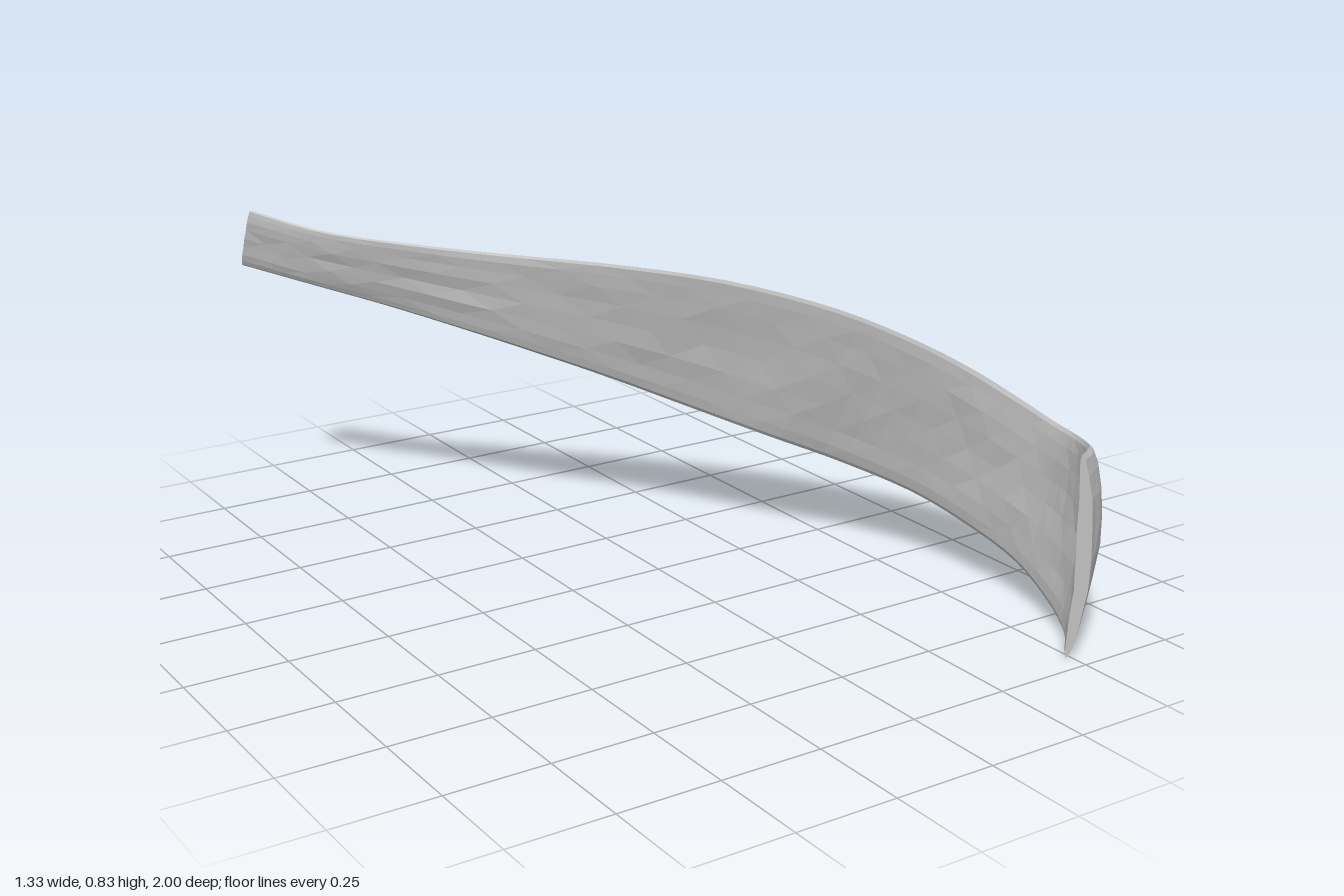
import * as THREE from 'three';

// Stations along the blade: top edge xyz, bottom edge xyz, outward bulge
const STATIONS = [
  [-0.655, 0.83, -0.92, -0.655, 0.668, -0.997, 0.022],
  [-0.53, 0.79, -0.765, -0.525, 0.63, -0.835, 0.042],
  [-0.38, 0.77, -0.61, -0.37, 0.58, -0.69, 0.052],
  [-0.2, 0.757, -0.42, -0.18, 0.512, -0.49, 0.073],
  [0, 0.748, -0.2, 0.02, 0.432, -0.31, 0.092],
  [0.18, 0.73, 0.015, 0.175, 0.364, -0.16, 0.106],
  [0.335, 0.69, 0.21, 0.315, 0.304, 0.01, 0.109],
  [0.445, 0.64, 0.36, 0.445, 0.25, 0.15, 0.107],
  [0.525, 0.585, 0.5, 0.545, 0.2, 0.32, 0.097],
  [0.577, 0.53, 0.64, 0.588, 0.154, 0.49, 0.079],
  [0.597, 0.495, 0.76, 0.605, 0.11, 0.64, 0.06],
  [0.582, 0.49, 0.85, 0.59, 0.06, 0.77, 0.057],
  [0.535, 0.5, 0.93, 0.555, 0.022, 0.87, 0.052],
  [0.458, 0.51, 0.988, 0.488, 0.003, 0.948, 0.036],
];
const ROWS = 44, HALF = 10; // rings, and steps on each side of a ring

function seeded(seed) {
  return () => (seed = (seed * 16807) % 2147483647) / 2147483647 - 0.5;
}

const curve = (pick) =>
  new THREE.CatmullRomCurve3(STATIONS.map(pick), false, 'catmullrom', 0.5);

function bladeGeometry() {
  const top = curve((s) => new THREE.Vector3(s[0], s[1], s[2]));
  const bottom = curve((s) => new THREE.Vector3(s[3], s[4], s[5]));
  const bulge = curve((s) => new THREE.Vector3(s[6], 0, 0));
  const rand = seeded(73);
  const ring = HALF * 2;
  const grain = new Array(ring).fill(0);
  const pos = [], index = [];

  for (let i = 0; i <= ROWS; i++) {
    const t = i / ROWS;
    const a = top.getPoint(t), b = bottom.getPoint(t), d = bulge.getPoint(t).x;
    const along = top.getTangent(t).add(bottom.getTangent(t));
    const out = new THREE.Vector3(along.z, 0, -along.x).normalize();
    // The inner face is nearly flat, hollowing towards the hooked tip
    const hollow = 0.08 + 0.5 * THREE.MathUtils.smoothstep(t, 0.75, 1);
    for (let j = 0; j < ring; j++) {
      // Down the convex outer face, then back up the inner face, with rounded rims
      const outer = j <= HALF;
      const v = (1 - Math.cos((Math.PI * (outer ? j : ring - j)) / HALF)) / 2;
      const arch = Math.max(0, Math.sin(Math.PI * v));
      const offset = outer
        ? d * Math.pow(arch, 0.57)
        : hollow * d * arch - 0.014 * Math.pow(arch, 0.4);
      // Shallow grain that drifts along the length
      grain[j] = grain[j] * 0.7 + rand() * 0.005;
      const p = a.clone().lerp(b, v).addScaledVector(out, offset + grain[j] * arch);
      pos.push(p.x, p.y, p.z);
    }
  }
  for (let i = 0; i < ROWS; i++) {
    for (let j = 0; j < ring; j++) {
      const k = (j + 1) % ring;
      const a = i * ring + j, b = i * ring + k, c = a + ring, e = b + ring;
      if ((i + j) % 2) index.push(a, c, b, b, c, e);
      else index.push(a, c, e, a, e, b);
    }
  }
  // End caps, stitched across the thin section
  const last = ROWS * ring;
  for (let j = 0; j < HALF; j++) {
    const a = j, b = j + 1, c = (ring - j) % ring, e = ring - j - 1;
    index.push(a, b, c, b, e, c);
    index.push(last + a, last + c, last + b, last + b, last + c, last + e);
  }
  const g = new THREE.BufferGeometry();
  g.setAttribute('position', new THREE.Float32BufferAttribute(pos, 3));
  g.setIndex(index);
  g.computeVertexNormals();
  return g;
}

export function createModel() {
  const grey = new THREE.MeshStandardMaterial({ color: 0xc8c8c8, flatShading: true, side: THREE.DoubleSide });
  grey.name = 'pale grey';
  const group = new THREE.Group();
  group.name = 'curvedBone';
  const blade = new THREE.Mesh(bladeGeometry(), grey);
  blade.name = 'hookedBlade';
  group.add(blade);
  return group;
}
